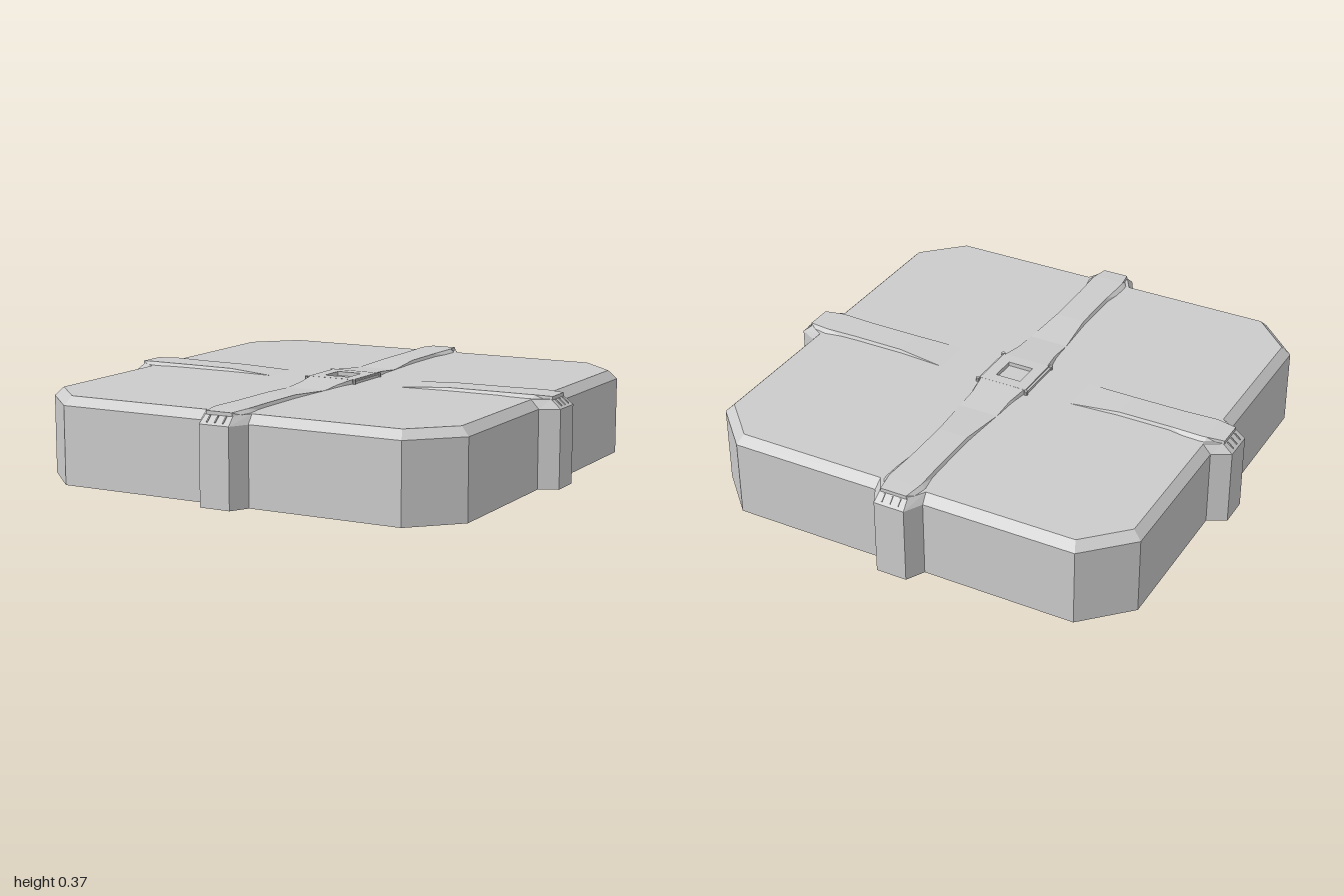
import * as THREE from 'three';

const material = new THREE.MeshStandardMaterial({ color: 0xcccccc, flatShading: true });
const TOP = 0.355;

// Joins rings of points (counter-clockwise seen from the last ring) and caps both ends.
function loft(rings) {
  const positions = [];
  const tri = (...points) => points.forEach((p) => positions.push(...p));
  const centre = (ring) => [0, 1, 2].map((k) => ring.reduce((s, p) => s + p[k], 0) / ring.length);
  const n = rings[0].length;
  const first = rings[0], last = rings[rings.length - 1];
  for (let i = 0; i < n; i++) {
    const j = (i + 1) % n;
    for (let r = 0; r < rings.length - 1; r++) {
      const a = rings[r], b = rings[r + 1];
      tri(a[i], a[j], b[j]);
      tri(a[i], b[j], b[i]);
    }
    tri(centre(first), first[j], first[i]);
    tri(centre(last), last[i], last[j]);
  }
  const geometry = new THREE.BufferGeometry();
  geometry.setAttribute('position', new THREE.Float32BufferAttribute(positions, 3));
  geometry.computeVertexNormals();
  return geometry;
}

// Repeats one side of the outline (distance, sideways) around the four sides.
function outline(side, y) {
  const ring = [];
  for (let k = 0; k < 4; k++) {
    const c = Math.round(Math.cos(k * Math.PI / 2)), s = Math.round(Math.sin(k * Math.PI / 2));
    for (const [d, t] of side) ring.push([d * c - t * s, y, -(d * s + t * c)]);
  }
  return ring;
}

// Raised strip along +x from stations: distance, base half width, top half width, height.
function ridge(stations) {
  return loft(stations.map(([d, b, t, y]) => [
    [d, 0.34, b], [d, 0.34, -b], [d, y, -t], [d, y, t],
  ]));
}

export function createModel() {
  const model = new THREE.Group();
  const add = (name, geometry, parent = model) => {
    const mesh = new THREE.Mesh(geometry, material);
    mesh.name = name;
    parent.add(mesh);
    return mesh;
  };

  // Slab with cut corners, a rib on each side and a bevelled rim
  const lower = [[0.925, -0.745], [0.925, -0.105], [1, -0.065], [1, 0.065], [0.925, 0.105], [0.925, 0.745]];
  const upper = [[0.89, -0.73], [0.89, -0.1], [0.958, -0.06], [0.958, 0.06], [0.89, 0.1], [0.89, 0.73]];
  add('slab', loft([outline(lower, 0), outline(lower, 0.32), outline(upper, TOP)]));

  // Four ridges running out to the ribs
  const ridgeGeometry = ridge([
    [0.3, 0.092, 0.085, TOP], [0.51, 0.08, 0.065, 0.367], [0.73, 0.08, 0.065, 0.368],
    [0.87, 0.105, 0.07, 0.369], [0.89, 0.102, 0.068, 0.369], [0.962, 0.06, 0.056, 0.366],
  ]);
  const rampGeometry = ridge([
    [0.1, 0.112, 0.1, 0.372], [0.2, 0.1, 0.085, 0.364], [0.31, 0.092, 0.085, TOP],
  ]);
  const tickGeometry = new THREE.BoxGeometry(0.034, 0.006, 0.005);
  for (let k = 0; k < 4; k++) {
    const arm = new THREE.Group();
    arm.name = 'arm' + (k + 1);
    arm.rotation.y = k * Math.PI / 2;
    add('ridge', ridgeGeometry, arm);
    if (k % 2) add('hubRamp', rampGeometry, arm);
    // Small marks on the bevel at the rib end
    for (const z of [-0.035, 0, 0.035]) {
      const tick = add('ribMark', tickGeometry, arm);
      tick.position.set(0.979, 0.339, z);
      tick.rotation.z = -0.72;
    }
    model.add(arm);
  }

  // Central hub with a square socket
  const square = (Shape, h) => new Shape([[-h, -h], [h, -h], [h, h], [-h, h]].map(([x, y]) => new THREE.Vector2(x, y)));
  const hubShape = square(THREE.Shape, 0.105);
  hubShape.holes.push(square(THREE.Path, 0.055));
  const hub = add('hub', new THREE.ExtrudeGeometry(hubShape, { depth: 0.022, bevelEnabled: false }));
  hub.rotation.x = -Math.PI / 2;
  hub.position.y = 0.35;

  // Side rails and corner pins of the hub
  for (const x of [-1, 1]) {
    add('hubRail', new THREE.BoxGeometry(0.012, 0.02, 0.21)).position.set(x * 0.108, 0.356, 0);
    for (const z of [-1, 1]) {
      add('hubPin', new THREE.CylinderGeometry(0.008, 0.008, 0.024, 8)).position.set(x * 0.112, 0.36, z * 0.11);
    }
  }
  return model;
}
